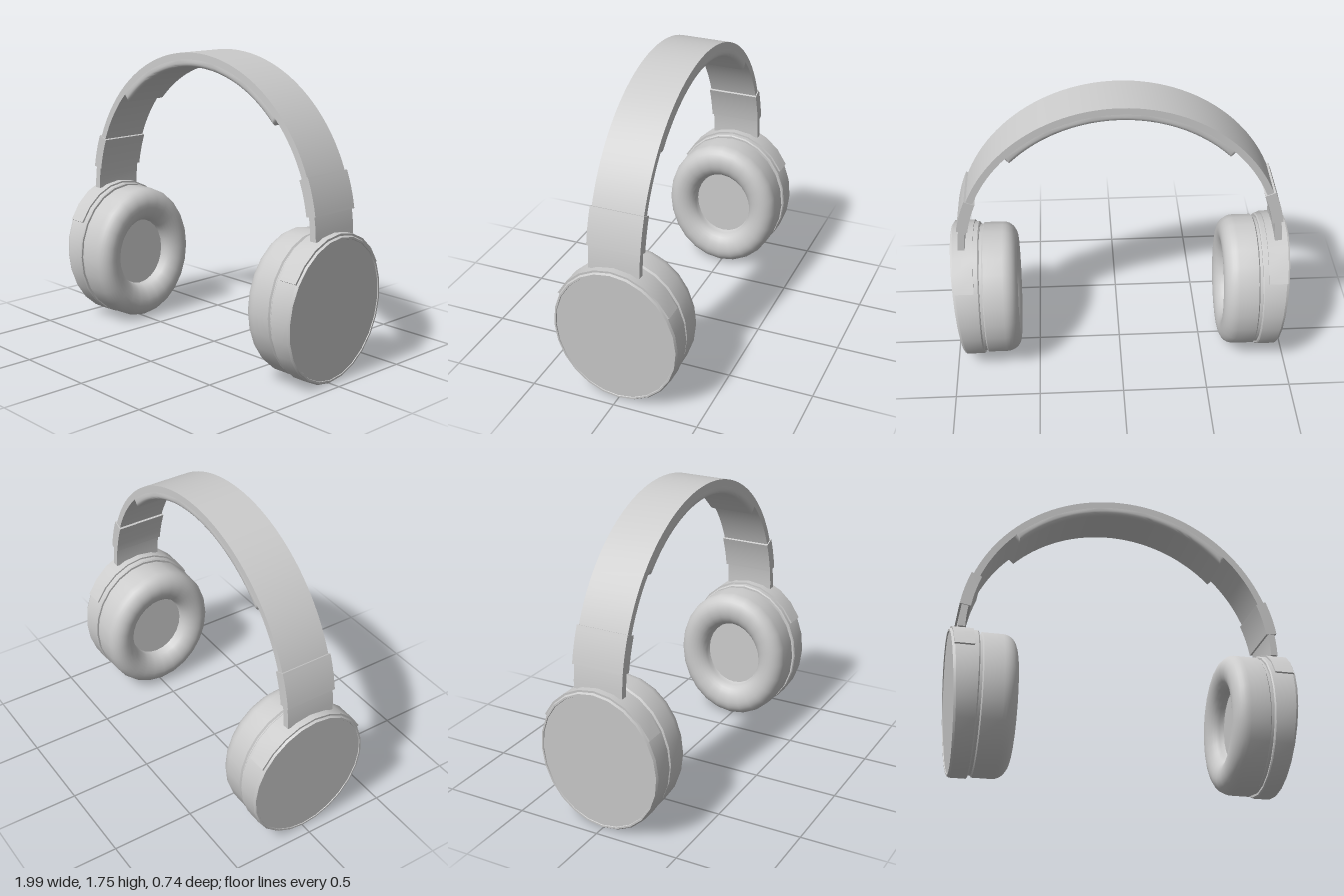
import * as THREE from 'three';
import { toCreasedNormals } from 'three/addons/utils/BufferGeometryUtils.js';

const ARC_Y = 0.81;               // centre height of the headband arc
const CUP_Y = 0.425;              // centre height of the ear cups
const RY = 0.425, RZ = 0.37;      // ear cup ellipse radii
const rad = THREE.MathUtils.degToRad;
const material = new THREE.MeshStandardMaterial({ color: 0xcccccc });

function part(name, geometry, crease = 0.6) {
  const mesh = new THREE.Mesh(toCreasedNormals(geometry, crease), material);
  mesh.name = name;
  return mesh;
}

// Curved strip between two radii and two angles, extruded along z
function arcStrip(r0, r1, a0, a1, halfWidth, segments, bevel = 0) {
  const shape = new THREE.Shape();
  shape.absarc(0, 0, r1, rad(a0), rad(a1), false);
  shape.absarc(0, 0, r0, rad(a1), rad(a0), true);
  shape.closePath();
  const geometry = new THREE.ExtrudeGeometry(shape, {
    depth: 2 * (halfWidth - bevel), curveSegments: segments,
    bevelEnabled: bevel > 0, bevelSize: bevel, bevelThickness: bevel, bevelSegments: 4,
  });
  return geometry.translate(0, ARC_Y, bevel - halfWidth);
}

// Elliptical turning around the x axis; profile holds [x, relative radius]
function turned(profile) {
  const points = profile.map(([x, r]) => new THREE.Vector2(r, x));
  return new THREE.LatheGeometry(points, 24)
    .rotateZ(-Math.PI / 2).scale(1, RY, RZ).translate(0, CUP_Y, 0);
}

// Slants the outer side of a cup part so that it leans outwards at the top
function slant(geometry) {
  const p = geometry.attributes.position;
  for (let i = 0; i < p.count; i++) {
    const weight = Math.max(0, (p.getX(i) - 0.835) / 0.132);
    p.setX(i, p.getX(i) + weight * 0.0686 * (p.getY(i) - CUP_Y));
  }
  return geometry;
}

function earCup() {
  const group = new THREE.Group();

  // Ring cushion with a recessed centre
  const cushion = [[0.7, 0], [0.7, 0.49]];
  for (let i = 0; i <= 14; i++) {
    const a = Math.PI * i / 14;
    const r = 0.76 - Math.cos(a) * (i < 7 ? 0.26 : 0.22);
    cushion.push([0.692 - 0.085 * Math.sin(a), r]);
  }
  cushion.push([0.805, 0.98], [0.812, 0.955], [0.84, 0.955]);
  group.add(part('earCushion', turned(cushion)));

  // Hard shell with a narrow rim and a slanted outer face
  group.add(part('earShell', slant(turned([
    [0.828, 0.94], [0.828, 0.985], [0.835, 1], [0.953, 1],
    [0.967, 0.98], [0.967, 0.955], [0.962, 0.95], [0.962, 0],
  ])), 0.4));

  // Bracket wrapped over the top of the shell
  const shape = new THREE.Shape();
  shape.absellipse(0, 0, RZ + 0.01, RY + 0.01, rad(30), rad(150), false, 0);
  shape.absellipse(0, 0, RZ - 0.03, RY - 0.03, rad(150), rad(30), true, 0);
  shape.closePath();
  const bracket = new THREE.ExtrudeGeometry(shape, { depth: 0.1, curveSegments: 4, bevelEnabled: false });
  bracket.rotateY(Math.PI / 2).translate(0.856, CUP_Y, 0);
  group.add(part('cupBracket', slant(bracket)));

  // Sleeve around the end of the band
  group.add(part('sliderSleeve', arcStrip(0.892, 0.957, 9.5, 22.3, 0.156, 4)));
  return group;
}

export function createModel() {
  const model = new THREE.Group();
  model.name = 'headphones';

  model.add(part('headband', arcStrip(0.905, 0.945, 1.2, 178.8, 0.15, 32)));
  model.add(part('headbandPadding', arcStrip(0.885, 0.905, 46, 134, 0.15, 20, 0.025)));

  // The cups are symmetric front to back, so a half turn mirrors them
  for (const side of ['left', 'right']) {
    const cup = earCup();
    cup.name = side + 'EarCup';
    if (side === 'right') cup.rotation.y = Math.PI;
    model.add(cup);
  }
  return model;
}
